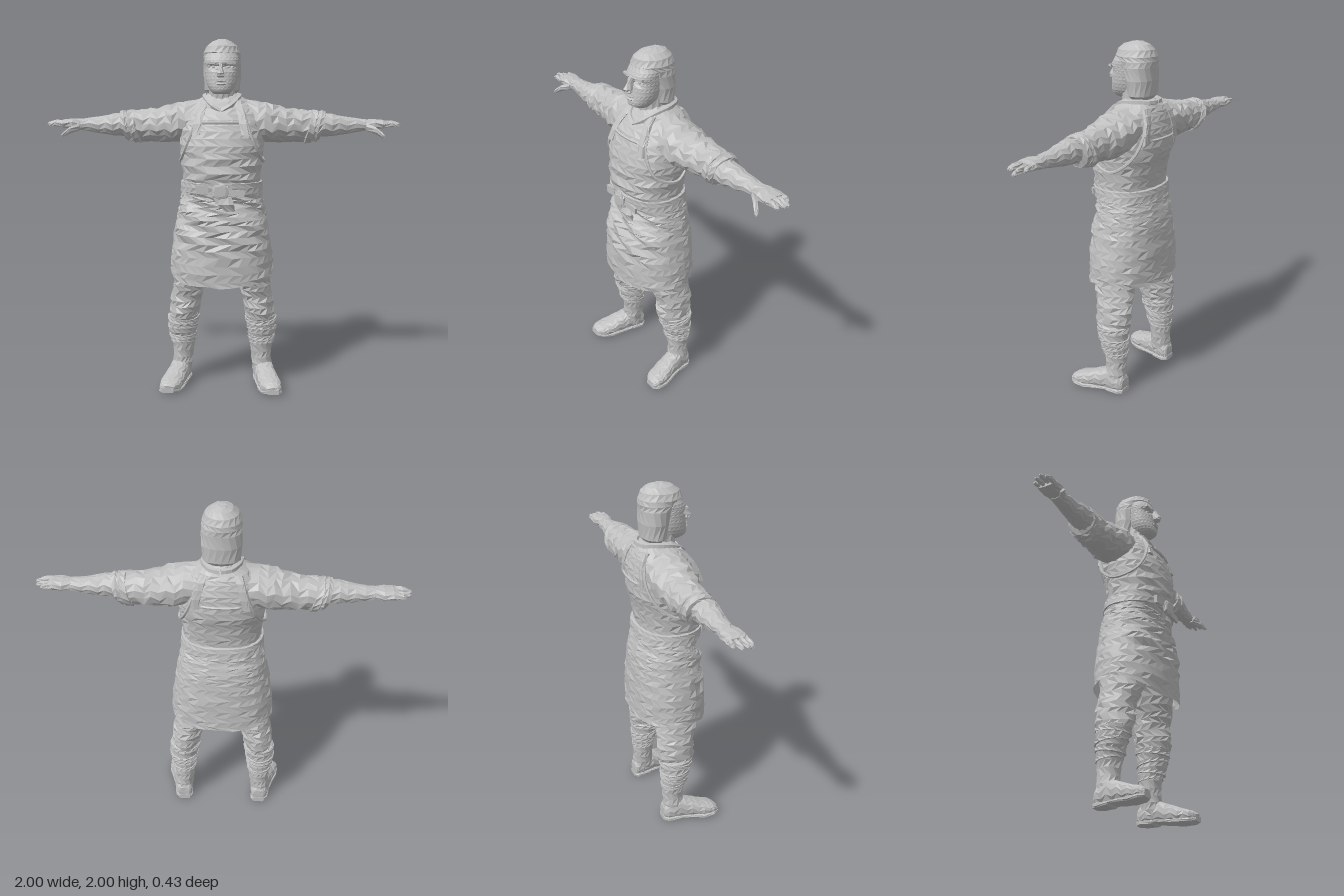
import * as THREE from 'three';

const clay = new THREE.MeshStandardMaterial({ color: 0xc0c0c0, side: THREE.DoubleSide, flatShading: true });
clay.name = 'plain grey';

let seed = 7;
const rnd = () => ((seed = (seed * 16807) % 2147483647) / 2147483647) - 0.5;

// Axis frames: how (along, a, b) become x, y, z
const frames = {
  y: (t, a, b) => new THREE.Vector3(a, t, b),
  x: (t, a, b) => new THREE.Vector3(t, b, a),
  z: (t, a, b) => new THREE.Vector3(b, a, t),
};
const spow = (c, e) => Math.sign(c) * Math.abs(c) ** e;

// Smooth interpolation of rows [along, centreA, centreB, radiusA, radiusB]
function rowAt(rows, u) {
  const i = Math.min(Math.floor(u), rows.length - 2), f = u - i;
  const at = k => rows[Math.max(0, Math.min(rows.length - 1, k))];
  return rows[i].map((v, c) => {
    const p0 = at(i - 1)[c], p2 = at(i + 1)[c], p3 = at(i + 2)[c];
    return v + 0.5 * f * (p2 - p0 + f * (2 * p0 - 5 * v + 4 * p2 - p3 + f * (3 * (v - p2) + p3 - p0)));
  });
}

// Skin of rounded cross-sections along an axis
function loft(rows, { axis = 'y', n = 16, sub = 1, p = 2, jitter = 0, cap = true, warp } = {}) {
  const pos = [], idx = [], steps = (rows.length - 1) * sub;
  const put = v => { pos.push(v.x, v.y, v.z); };
  for (let i = 0; i <= steps; i++) {
    const [t, ca, cb, ra, rb] = rowAt(rows, i / sub);
    for (let j = 0; j < n; j++) {
      const th = ((j + (i % 2) * 0.5) / n) * Math.PI * 2;
      const v = frames[axis](t, ca + ra * spow(Math.cos(th), 2 / p), cb + rb * spow(Math.sin(th), 2 / p));
      if (jitter) v.add(new THREE.Vector3(rnd(), rnd(), rnd()).multiplyScalar(jitter * 2));
      if (warp) warp(v);
      put(v);
    }
  }
  for (let i = 0; i < steps; i++) for (let j = 0; j < n; j++) {
    const k = (j + 1) % n, a = i * n + j, b = a + n, c = (i + 1) * n + k, d = i * n + k;
    if (i % 2) idx.push(a, b, d, b, c, d).valueOf;
    else idx.push(a, b, c, a, c, d);
  }
  if (cap) {
    for (const [r, s] of [[rows[0], 0], [rows[rows.length - 1], steps * n]]) {
      const m = pos.length / 3;
      put(frames[axis](r[0], r[1], r[2]));
      for (let j = 0; j < n; j++) {
        const k = (j + 1) % n;
        if (s) idx.push(m, s + k, s + j); else idx.push(m, s + j, s + k);
      }
    }
  }
  const g = new THREE.BufferGeometry();
  g.setAttribute('position', new THREE.Float32BufferAttribute(pos, 3));
  g.setIndex(idx);
  const flat = g.toNonIndexed();
  flat.computeVertexNormals();
  return flat;
}

function mirror(g) {
  const m = (g.index ? g.toNonIndexed() : g.clone()).scale(-1, 1, 1), a = m.attributes.position;
  for (let i = 0; i < a.count; i += 3) {
    const b = new THREE.Vector3().fromBufferAttribute(a, i + 1), c = new THREE.Vector3().fromBufferAttribute(a, i + 2);
    a.setXYZ(i + 1, c.x, c.y, c.z);
    a.setXYZ(i + 2, b.x, b.y, b.z);
  }
  m.computeVertexNormals();
  return m;
}

const torsoRows = [
  [1.12, 0, -0.003, 0.232, 0.168], [1.2, 0, 0.012, 0.22, 0.172], [1.27, 0, 0.016, 0.222, 0.182],
  [1.35, 0, 0.008, 0.232, 0.186], [1.42, 0, -0.003, 0.238, 0.196], [1.5, 0, -0.016, 0.235, 0.186],
  [1.56, 0, -0.026, 0.222, 0.172], [1.62, 0, -0.04, 0.195, 0.142], [1.66, 0, -0.047, 0.15, 0.115], [1.7, 0, -0.047, 0.08, 0.08],
];
// Point lying on the torso, front (s = 1) or back (s = -1)
function onTorso(x, y, s, lift = 0.004) {
  let i = 0;
  while (i < torsoRows.length - 2 && torsoRows[i + 1][0] < y) i++;
  const r = torsoRows[i], q = torsoRows[i + 1], f = (y - r[0]) / (q[0] - r[0]);
  const mix = c => r[c] + (q[c] - r[c]) * f;
  const k = Math.min(1, Math.abs(x) / mix(3));
  return new THREE.Vector3(x, y, mix(2) + s * (mix(4) * (1 - k ** 2.3) ** (1 / 2.3) + lift));
}

export function createModel() {
  const model = new THREE.Group();
  model.name = 'apronedWorker';
  const add = (name, g) => {
    const m = new THREE.Mesh(g, clay);
    m.name = name;
    model.add(m);
  };
  const pair = (name, g) => { add(name + 'Left', g); add(name + 'Right', mirror(g)); };
  const tube = (pts, r, closed = false, seg = 28) =>
    new THREE.TubeGeometry(new THREE.CatmullRomCurve3(pts, closed), seg, r, 5, closed);
  const box = (w, h, d, x, y, z, rz = 0) => new THREE.BoxGeometry(w, h, d).rotateZ(rz).translate(x, y, z);

  // Torso with pulled cloth above the belt
  add('torso', loft(torsoRows, {
    n: 24, sub: 2, p: 2.3, jitter: 0.003,
    warp: v => { if (v.z > 0 && v.y < 1.36) v.z += 0.007 * Math.sin(v.y * 75 + Math.abs(v.x) * 22); },
  }));

  // Apron skirt, with slanting folds at the front and a dipping hem
  add('apronSkirt', loft([
    [0.665, 0, -0.003, 0.298, 0.206], [0.8, 0, 0.001, 0.29, 0.209], [0.95, 0, 0, 0.268, 0.202],
    [1.05, 0, -0.006, 0.25, 0.186], [1.12, 0, -0.004, 0.236, 0.171], [1.18, 0, 0.003, 0.222, 0.17],
  ], {
    n: 32, sub: 4, p: 2.3, jitter: 0.004, cap: false,
    warp: v => {
      const low = Math.max(0, 1 - (v.y - 0.66) / 0.14);
      v.y += low * (v.z > 0 ? 0.035 - 0.07 * v.z / 0.2 : 0.035 + 0.17 * v.z);
      if (v.z > 0.06 && v.y > 0.72 && v.y < 1.13)
        v.z += 0.013 * Math.sin(v.y * 48 + v.x * 26) * Math.min(1, (v.y - 0.72) * 6) - 0.005;
    },
  }));

  // Belt, buckle and tucked loop
  add('belt', loft([[1.155, 0, 0.002, 0.224, 0.168], [1.158, 0, 0.004, 0.236, 0.184], [1.19, 0, 0.008, 0.232, 0.186],
    [1.215, 0, 0.011, 0.23, 0.184], [1.218, 0, 0.011, 0.216, 0.172]], { n: 28, p: 2.3, jitter: 0.0015 }));
  add('buckle', loft([[0.185, 1.175, 0, 0.045, 0.05], [0.205, 1.175, 0, 0.042, 0.046], [0.21, 1.175, 0, 0.03, 0.034]],
    { axis: 'z', n: 8, p: 3 }));
  add('beltEnd', box(0.1, 0.035, 0.014, 0.085, 1.165, 0.186, -0.1));
  add('beltLoop', box(0.07, 0.045, 0.02, -0.1, 1.185, 0.182, 0.12));
  add('clothTuck', loft([[1.06, 0.05, 0.165, 0.03, 0.02], [1.1, 0.03, 0.175, 0.05, 0.022], [1.14, 0, 0.17, 0.06, 0.015]], { n: 8 }));

  // Apron edging: armholes, neckline and shoulder straps
  const arc = [[0.125, 1.6], [0.15, 1.52], [0.185, 1.43], [0.215, 1.36]];
  pair('armholeTrim', tube([
    ...arc.map(([x, y]) => onTorso(x, y, 1)), new THREE.Vector3(0.236, 1.325, -0.01),
    ...arc.slice().reverse().map(([x, y]) => onTorso(x, y, -1)),
  ], 0.009, false, 36));
  const line = (y, s) => [-0.1, -0.05, 0, 0.05, 0.1].map(x => onTorso(x, y, s));
  add('bibTopEdge', tube(line(1.545, 1), 0.009));
  add('backTopEdge', tube(line(1.5, -1), 0.008));
  for (const s of [1, -1]) {
    const rows = [1.48, 1.54, 1.59, 1.63, 1.665].map((y, i) => {
      const x = [0.135, 0.125, 0.112, 0.1, 0.09][i];
      return [y, x, onTorso(x, y, s, 0).z, 0.023, 0.014];
    });
    pair(s > 0 ? 'frontStrap' : 'backStrap', loft(rows, { n: 8, p: 5 }));
  }

  // Neck and shirt collar
  add('neck', loft([[1.6, 0, -0.04, 0.1, 0.1], [1.66, 0, -0.025, 0.078, 0.08], [1.76, 0, -0.01, 0.072, 0.08]], { n: 14 }));
  pair('collar', tube([[0, 1.605, 0.098], [0.05, 1.635, 0.085], [0.09, 1.675, 0.02], [0.095, 1.69, -0.06], [0.05, 1.69, -0.14], [0, 1.69, -0.155]]
    .map(q => new THREE.Vector3(...q)), 0.016, false, 14));

  // Face with sunken eyes and hollow cheeks
  add('face', loft([
    [1.7, 0, 0.04, 0.042, 0.05], [1.715, 0, 0.048, 0.058, 0.07], [1.74, 0, 0.04, 0.076, 0.083], [1.78, 0, 0.033, 0.088, 0.084],
    [1.82, 0, 0.028, 0.092, 0.084], [1.85, 0, 0.026, 0.094, 0.083], [1.87, 0, 0.03, 0.095, 0.087], [1.9, 0, 0.018, 0.095, 0.084], [1.94, 0, 0, 0.08, 0.08],
  ], {
    n: 24, sub: 2, p: 2.2,
    warp: v => {
      const dx = Math.abs(v.x) - 0.04;
      if (v.z > 0.03) v.z -= 0.02 * Math.exp(-((dx / 0.022) ** 2) - ((v.y - 1.847) / 0.014) ** 2);
    },
  }));
  add('nose', loft([[1.788, 0, 0.122, 0.012, 0.015], [1.797, 0, 0.128, 0.024, 0.024], [1.812, 0, 0.13, 0.02, 0.03],
    [1.84, 0, 0.115, 0.012, 0.025], [1.872, 0, 0.108, 0.012, 0.015]], { n: 8 }));
  add('lips', loft([[1.747, 0, 0.115, 0.02, 0.012], [1.755, 0, 0.118, 0.032, 0.015], [1.762, 0, 0.115, 0.034, 0.01], [1.77, 0, 0.118, 0.024, 0.013]], { n: 8 }));
  pair('eyebrow', box(0.05, 0.012, 0.016, 0.042, 1.868, 0.106, 0.1).rotateY(0.12));
  pair('eye', new THREE.SphereGeometry(0.013, 8, 6).translate(0.04, 1.847, 0.082));

  // Hair falling behind the face to the nape
  add('hair', loft([
    [1.69, 0, -0.06, 0.066, 0.05], [1.72, 0, -0.065, 0.1, 0.07], [1.8, 0, -0.06, 0.107, 0.08], [1.87, 0, -0.05, 0.107, 0.09],
    [1.9, 0, -0.037, 0.106, 0.105], [1.925, 0, -0.023, 0.103, 0.118], [1.96, 0, -0.023, 0.088, 0.105], [1.985, 0, -0.028, 0.058, 0.075], [2, 0, -0.032, 0.02, 0.03],
  ], { n: 18, p: 2.1, jitter: 0.0015 }));

  // Rumpled sleeves, rolled cuffs and forearms
  pair('sleeve', loft([
    [0.08, -0.046, 1.575, 0.11, 0.1], [0.2, -0.045, 1.548, 0.128, 0.112], [0.28, -0.045, 1.535, 0.126, 0.108],
    [0.36, -0.05, 1.527, 0.107, 0.096], [0.45, -0.055, 1.523, 0.09, 0.09], [0.54, -0.055, 1.518, 0.086, 0.086],
  ], { axis: 'x', n: 16, sub: 2, jitter: 0.007 }));
  const slant = v => { v.x += (v.y - 1.52) * 0.22; };
  pair('rolledCuff', loft([[0.48, -0.055, 1.515, 0.08, 0.08], [0.49, -0.055, 1.515, 0.093, 0.097], [0.52, -0.055, 1.517, 0.096, 0.094],
    [0.53, -0.054, 1.52, 0.088, 0.086], [0.545, -0.053, 1.52, 0.093, 0.09], [0.565, -0.05, 1.522, 0.085, 0.08], [0.57, -0.045, 1.525, 0.06, 0.06]],
  { axis: 'x', n: 14, jitter: 0.003, warp: slant }));
  pair('forearm', loft([[0.54, -0.04, 1.528, 0.07, 0.068], [0.62, -0.04, 1.526, 0.068, 0.062], [0.7, -0.044, 1.524, 0.055, 0.05],
    [0.8, -0.046, 1.526, 0.043, 0.034], [0.83, -0.046, 1.528, 0.045, 0.032]], { axis: 'x', n: 12, sub: 2, jitter: 0.002 }));
  pair('palm', loft([[0.8, -0.046, 1.527, 0.04, 0.032], [0.85, -0.044, 1.53, 0.058, 0.03], [0.9, -0.046, 1.532, 0.06, 0.025], [0.925, -0.046, 1.53, 0.056, 0.019]],
    { axis: 'x', n: 10, p: 2.5 }));
  for (const [i, tip] of [0.985, 1, 0.995, 0.965].entries()) {
    const z = -0.003 - i * 0.028, y = 1.53 + (i === 1 ? 0.006 : 0);
    pair('finger' + (i + 1), loft([[0.905, z, y, 0.015, 0.018], [0.95, z, y + 0.002, 0.0145, 0.015], [tip - 0.01, z, y - 0.004, 0.012, 0.011], [tip, z, y - 0.006, 0.005, 0.005]],
      { axis: 'x', n: 6 }));
  }
  pair('thumb', loft([[0.81, -0.02, 1.518, 0.024, 0.024], [0.86, 0.018, 1.497, 0.02, 0.02], [0.895, 0.043, 1.474, 0.014, 0.014], [0.905, 0.05, 1.467, 0.006, 0.006]],
    { axis: 'x', n: 7 }));

  // Trousers, boots and boot straps
  pair('trouserLeg', loft([[0.36, 0.23, -0.02, 0.07, 0.08], [0.45, 0.22, -0.02, 0.086, 0.11], [0.55, 0.205, -0.02, 0.09, 0.112],
    [0.65, 0.18, -0.003, 0.1, 0.126], [0.8, 0.14, 0, 0.12, 0.14], [0.95, 0.1, 0, 0.11, 0.13]], { n: 14, sub: 3, jitter: 0.006 }));
  pair('bootShaft', loft([[0.05, 0.24, -0.042, 0.055, 0.066], [0.12, 0.236, -0.045, 0.06, 0.064], [0.2, 0.23, -0.046, 0.061, 0.064],
    [0.28, 0.232, -0.04, 0.074, 0.075], [0.35, 0.233, -0.03, 0.086, 0.088], [0.42, 0.225, -0.024, 0.09, 0.099], [0.432, 0.222, -0.022, 0.076, 0.085]],
  { n: 14, sub: 2, jitter: 0.003 }));
  for (const [i, [y, x, z, rx, rz]] of [[0.4, 0.227, -0.026, 0.094, 0.101], [0.345, 0.233, -0.031, 0.09, 0.092], [0.295, 0.232, -0.038, 0.082, 0.083], [0.255, 0.231, -0.043, 0.074, 0.074]].entries()) {
    const tilt = v => { v.y += (v.z - z) * (i % 2 ? 0.15 : -0.12); };
    pair('bootStrap' + (i + 1), loft([[y - 0.014, x, z, rx - 0.012, rz - 0.012], [y - 0.01, x, z, rx, rz], [y + 0.01, x, z, rx, rz], [y + 0.014, x, z, rx - 0.012, rz - 0.012]],
      { n: 14, warp: tilt }));
  }
  pair('bootFoot', loft([[-0.112, 0.055, 0.235, 0.035, 0.035], [-0.09, 0.062, 0.237, 0.055, 0.052], [-0.02, 0.075, 0.246, 0.068, 0.058],
    [0.05, 0.064, 0.262, 0.056, 0.06], [0.12, 0.05, 0.28, 0.044, 0.065], [0.18, 0.043, 0.293, 0.034, 0.057], [0.21, 0.038, 0.3, 0.018, 0.033]],
  { axis: 'z', n: 14, sub: 2, p: 2.4, jitter: 0.002, warp: v => { v.y = Math.max(v.y, 0.015); } }));
  pair('bootSole', loft([[-0.115, 0.016, 0.235, 0.015, 0.036], [-0.09, 0.014, 0.237, 0.014, 0.054], [-0.02, 0.015, 0.246, 0.013, 0.056], [-0.01, 0.02, 0.248, 0.008, 0.056],
    [0.05, 0.016, 0.263, 0.011, 0.06], [0.12, 0.014, 0.281, 0.013, 0.068], [0.18, 0.017, 0.294, 0.013, 0.06], [0.212, 0.024, 0.301, 0.011, 0.035]],
  { axis: 'z', n: 12, p: 4 }));
  return model;
}
